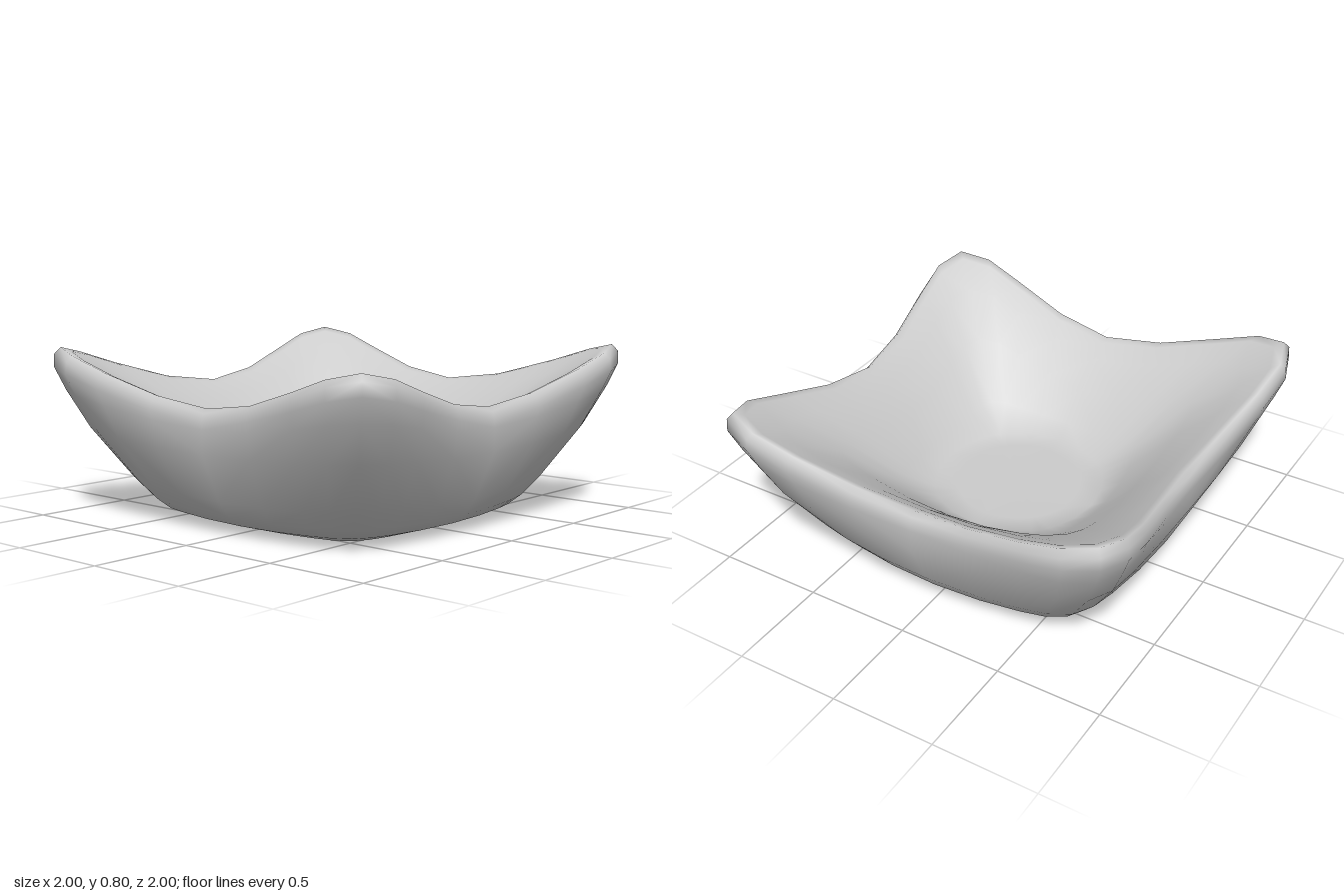
import * as THREE from 'three';

// Stations across one eighth of the bowl: [angle in degrees, 0 at mid-side .. 1 at corner]
const STATIONS = [[0, 0], [17.9, 0.174], [31.5, 0.561], [38.7, 0.857], [45, 1]];

// Cross-section from the underside, over the rim, to the inner floor:
// [radius at mid-side, radius at corner, height at mid-side, height at corner]
const PROFILE = [
  [0, 0, 0, 0], [0.5, 0.63, 0, 0], [0.6, 0.75, 0.012, 0.018], [0.68, 0.83, 0.035, 0.045],
  [0.74, 0.89, 0.08, 0.09], [0.8, 0.98, 0.16, 0.18],
  [0.9, 1.18, 0.38, 0.42], [0.9, 1.29, 0.49, 0.6], [0.9, 1.344, 0.52, 0.71],
  [0.89, 1.34, 0.56, 0.77], [0.865, 1.31, 0.58, 0.8], [0.83, 1.26, 0.565, 0.78],
  [0.75, 1.1, 0.51, 0.68], [0.62, 0.85, 0.4, 0.52], [0.48, 0.58, 0.265, 0.305],
  [0.4, 0.41, 0.21, 0.21], [0.3, 0.3, 0.205, 0.205], [0, 0, 0.205, 0.205],
];

// Mirror the stations around the full turn
function ringStations() {
  const ring = [];
  for (let o = 0; o < 8; o++) {
    for (let k = 0; k < 4; k++) {
      const [deg, g] = STATIONS[o % 2 ? 4 - k : k];
      const angle = o % 2 ? (o + 1) * 45 - deg : o * 45 + deg;
      ring.push([THREE.MathUtils.degToRad(angle), g]);
    }
  }
  return ring;
}

// Skin the cross-section around the stations as one smooth surface
function bowlGeometry() {
  const ring = ringStations();
  const n = ring.length;
  const { lerp } = THREE.MathUtils;
  const positions = [];
  const index = [];
  for (const [rMid, rCorner, yMid, yCorner] of PROFILE) {
    for (const [angle, g] of ring) {
      const r = lerp(rMid, rCorner, g);
      positions.push(r * Math.cos(angle), lerp(yMid, yCorner, g), r * Math.sin(angle));
    }
  }
  const last = PROFILE.length - 2;
  for (let i = 0; i <= last; i++) {
    for (let j = 0; j < n; j++) {
      const a = i * n + j;
      const b = i * n + (j + 1) % n;
      const c = a + n;
      const d = b + n;
      if (i === 0) index.push(a, c, d); // underside centre
      else if (i === last) index.push(a, c, b); // floor centre
      else if (Math.floor(j / 4) % 2) index.push(a, c, b, b, c, d);
      else index.push(a, c, d, a, d, b);
    }
  }
  const geometry = new THREE.BufferGeometry();
  geometry.setAttribute('position', new THREE.Float32BufferAttribute(positions, 3));
  geometry.setIndex(index);
  geometry.computeVertexNormals();
  // The two centres are flat
  const normals = geometry.attributes.normal;
  for (let j = 0; j < n; j++) {
    normals.setXYZ(j, 0, -1, 0);
    normals.setXYZ((PROFILE.length - 1) * n + j, 0, 1, 0);
  }
  return geometry;
}

export function createModel() {
  const group = new THREE.Group();
  group.name = 'squareBowl';
  const bowl = new THREE.Mesh(bowlGeometry(), new THREE.MeshStandardMaterial({ color: 0xcccccc }));
  bowl.name = 'bowl';
  group.add(bowl);
  return group;
}
